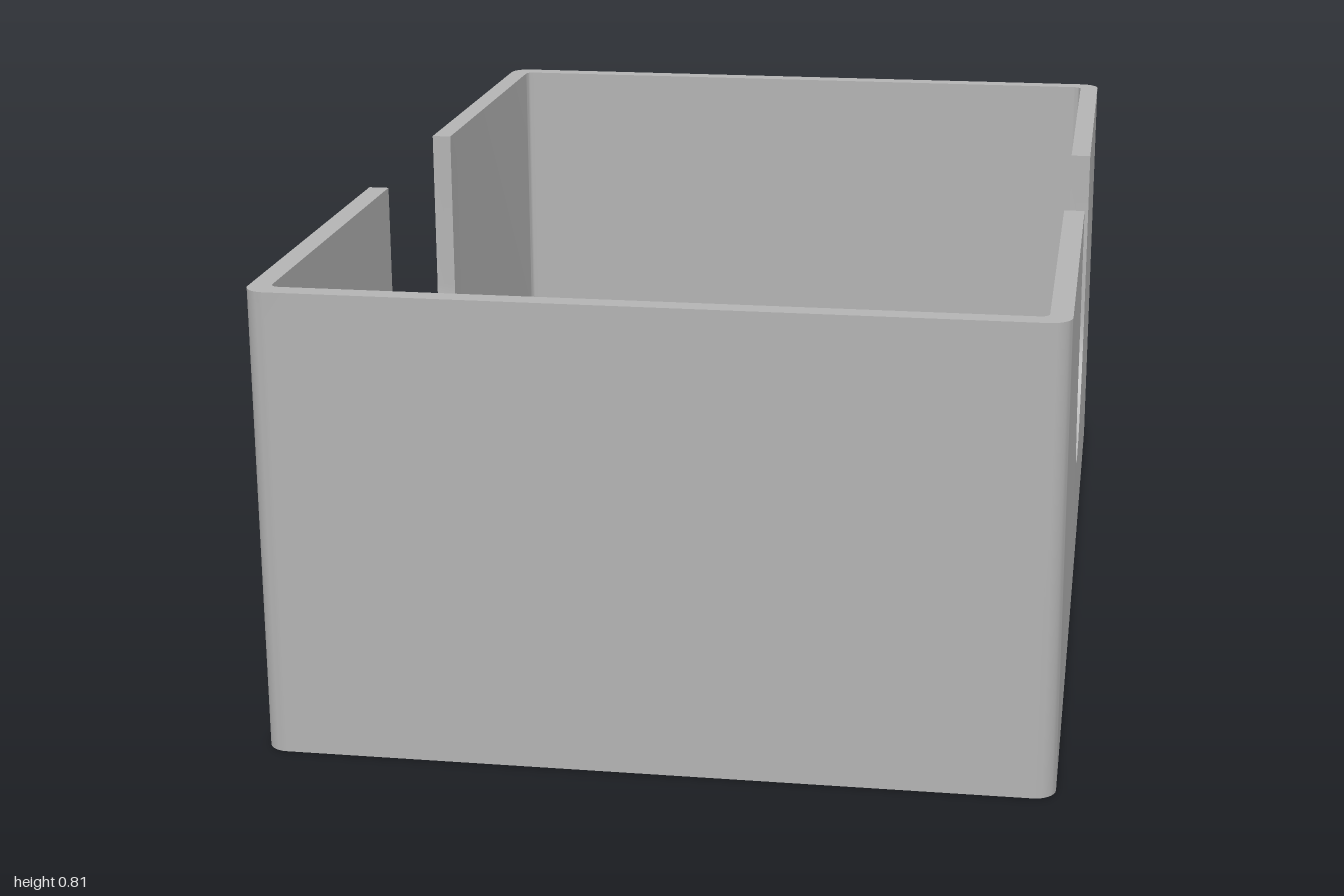
import * as THREE from 'three';
import { mergeGeometries, toCreasedNormals } from 'three/addons/utils/BufferGeometryUtils.js';

const HX = 0.67, HZ = 1, H = 0.81;        // outer half width, half depth, height
const WALL = 0.037, FLOOR = 0.035;        // thicknesses
const R_OUT = 0.037, R_IN = 0.015;        // corner radii
const SLOT = 0.237, SLOT_Y = 0.497;       // slot half width, centre of its round bottom
const HOLE = 0.258;

const v2 = (x, y) => new THREE.Vector2(x, y);

// Points of an arc, ends included
function arc(cx, cy, r, from, to, n) {
  return Array.from({ length: n + 1 }, (_, i) => {
    const t = from + (to - from) * i / n;
    return v2(cx + r * Math.cos(t), cy + r * Math.sin(t));
  });
}

// Two rounded corners of one end, as (x, z) points running from +x to -x
function endPath(hx, hz, r, sign) {
  return [
    ...arc(hx - r, hz - r, r, 0, Math.PI / 2, 8),
    ...arc(r - hx, hz - r, r, Math.PI / 2, Math.PI, 8),
  ].map(p => p.multiplyScalar(sign));
}

const lift = (path, y) => path.map(p => new THREE.Vector3(p.x, y, p.y));

// Surface between two matching rows of points
function strip(a, b) {
  const tris = [];
  for (let i = 0; i < a.length - 1; i++) tris.push(a[i], b[i], a[i + 1], a[i + 1], b[i], b[i + 1]);
  return new THREE.BufferGeometry().setFromPoints(tris);
}

// Flat face with positions only, so that it merges with the strips
function face(points, hole) {
  const shape = new THREE.Shape(points);
  if (hole) shape.holes.push(new THREE.Path(hole));
  const g = new THREE.ShapeGeometry(shape).toNonIndexed();
  g.deleteAttribute('normal');
  g.deleteAttribute('uv');
  return g;
}

const join = parts => toCreasedNormals(mergeGeometries(parts), 0.6);

function wallGeometry() {
  const parts = [];
  const slot = [v2(SLOT, H), ...arc(0, SLOT_Y, SLOT, 0, -Math.PI, 32), v2(-SLOT, H)];
  const panel = (halfLength, y) => face([
    v2(-halfLength, H), v2(-halfLength, y), v2(halfLength, y), v2(halfLength, H), ...slot,
  ]);
  const ix = HX - WALL, iz = HZ - WALL;

  for (const s of [1, -1]) {
    // end wall with its corners, inside and outside
    const outer = endPath(HX, HZ, R_OUT, s), inner = endPath(ix, iz, R_IN, s);
    parts.push(strip(lift(outer, 0), lift(outer, H)));
    parts.push(strip(lift(inner, H), lift(inner, FLOOR)));

    // top rim, from slot to slot
    const toSlots = (path, hx) => [v2(s * hx, s * SLOT), ...path, v2(-s * hx, s * SLOT)];
    parts.push(strip(lift(toSlots(outer, HX), H), lift(toSlots(inner, ix), H)));

    // slotted side wall, outside and inside
    parts.push(panel(HZ - R_OUT, 0).rotateY(s * Math.PI / 2).translate(s * HX, 0, 0));
    parts.push(panel(iz - R_IN, FLOOR).rotateY(-s * Math.PI / 2).translate(s * ix, 0, 0));

    // cut edge of the slot
    const edge = x => slot.map(p => new THREE.Vector3(x, p.y, p.x));
    parts.push(strip(edge(Math.min(s * HX, s * ix)), edge(Math.max(s * HX, s * ix))));
  }
  return join(parts);
}

function floorGeometry() {
  const circle = arc(0, 0, HOLE, 0, Math.PI * 2, 64);
  const ring = circle.slice(0, -1);
  const outline = (hx, hz, r) => [...endPath(hx, hz, r, 1), ...endPath(hx, hz, r, -1)];
  return join([
    face(outline(HX, HZ, R_OUT), ring).rotateX(Math.PI / 2),
    face(outline(HX - WALL, HZ - WALL, R_IN), ring).rotateX(-Math.PI / 2).translate(0, FLOOR, 0),
    strip(lift(circle, FLOOR), lift(circle, 0)),
  ]);
}

export function createModel() {
  const grey = new THREE.MeshStandardMaterial({ color: 0xb3b3b3 });
  grey.name = 'grey';
  const group = new THREE.Group();
  group.name = 'openBox';
  const add = (name, geometry) => {
    const mesh = new THREE.Mesh(geometry, grey);
    mesh.name = name;
    group.add(mesh);
  };
  add('walls', wallGeometry());
  add('floor', floorGeometry());
  return group;
}
